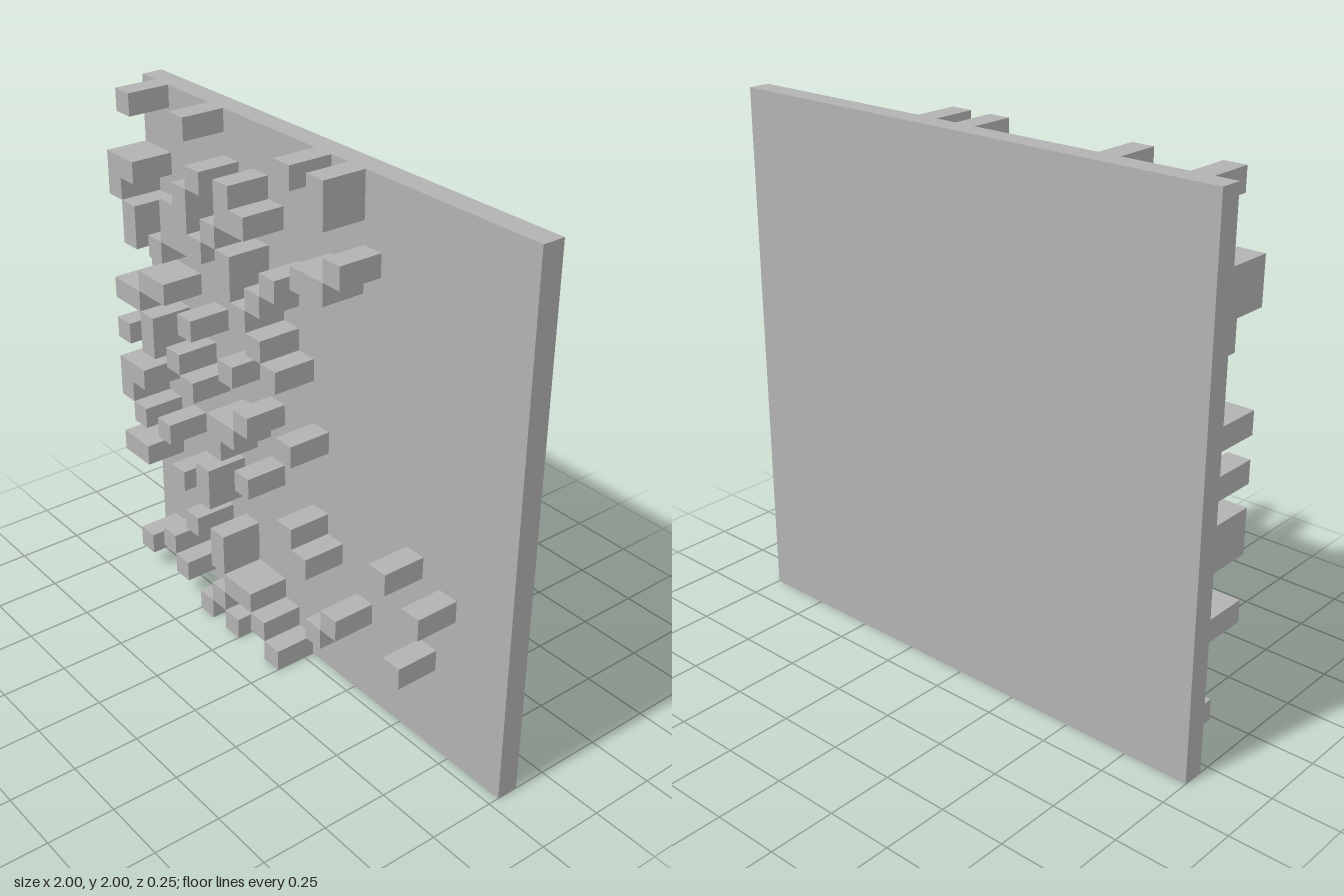
import * as THREE from 'three';

// Layout of the raised studs, seen from the front: '#' is a stud.
const LAYOUT = [
  '.#...#......#.#.........',
  '..............#.........',
  '......#.#...............',
  '##...#..##.....#........',
  '#...##.#.....##.........',
  '.#..###.#..#............',
  '.#.#....#.#.............',
  '.........#..............',
  '..##......#.............',
  '##...#.....#............',
  '..#.....#...............',
  '#.#.#...................',
  '.....#...#..#...........',
  '##.....##...............',
  '#......#................',
  '.#.#.....#........#.....',
  '......#.....#.......#...',
  '##..#.#......#..........',
  '........................',
  '.....#.#.......#...#....',
  '.......#......#.........',
  '...#....##..............',
  '.#..#..#..#.............',
  '......#.#..#............',
];
const CELL = 2 / 24;

export function createModel() {
  const group = new THREE.Group();
  const grey = new THREE.MeshStandardMaterial({ color: 0xb2b2b2 });
  grey.name = 'grey';

  const addBox = (name, w, h, d, x, y, z) => {
    const mesh = new THREE.Mesh(new THREE.BoxGeometry(w, h, d), grey);
    mesh.name = name;
    mesh.position.set(x, y, z);
    group.add(mesh);
  };

  // Backing plate, one cell thick
  addBox('backPlate', 2, 2, CELL, 0, 1, -CELL);

  // Studs, two cells deep; neighbours in a row or column join into one block
  const grid = LAYOUT.map((row) => [...row].map((ch) => ch === '#'));
  const filled = (r, c) => r < 24 && c < 24 && grid[r][c];
  for (let r = 0; r < 24; r++) {
    for (let c = 0; c < 24; c++) {
      if (!filled(r, c)) continue;
      let w = 1;
      let h = 1;
      while (filled(r, c + w)) w++;
      if (w === 1) while (filled(r + h, c)) h++;
      for (let i = 0; i < h; i++) for (let j = 0; j < w; j++) grid[r + i][c + j] = false;
      addBox('stud', w * CELL, h * CELL, 2 * CELL,
        -1 + (c + w / 2) * CELL, 2 - (r + h / 2) * CELL, CELL / 2);
    }
  }
  return group;
}
